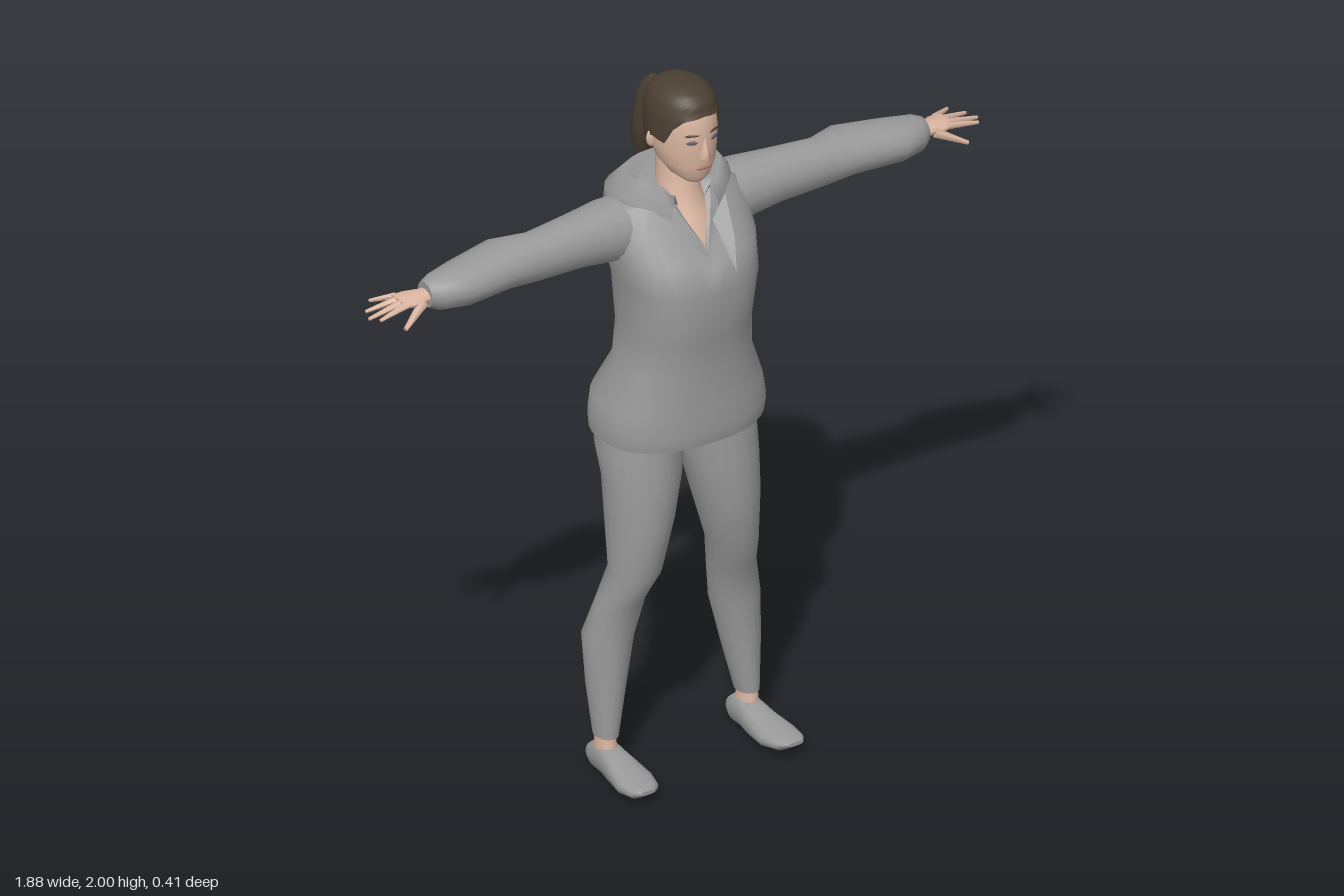
import * as THREE from 'three';

const mat = (name, color, side = THREE.FrontSide) => {
  const m = new THREE.MeshStandardMaterial({ color, side });
  m.name = name;
  return m;
};
const lerp = THREE.MathUtils.lerp;

// Closed loft along an axis; each row is [position, a0, a1, b0, b1].
function loft(axis, rows, { seg = 16, power = 1, deform } = {}) {
  const pos = [], idx = [], n = rows.length;
  const place = (p, a, b) => {
    const v = axis === 'y' ? [a, p, b] : axis === 'x' ? [p, a, b] : [a, b, p];
    const q = new THREE.Vector3(...v);
    if (deform) deform(q);
    pos.push(q.x, q.y, q.z);
  };
  const bend = t => Math.sign(t) * Math.pow(Math.abs(t), power);
  const ring = ([p, a0, a1, b0, b1]) => {
    for (let i = 0; i < seg; i++) {
      const t = (i / seg) * Math.PI * 2;
      place(p, (a0 + a1) / 2 + (a1 - a0) / 2 * bend(Math.cos(t)), (b0 + b1) / 2 + (b1 - b0) / 2 * bend(Math.sin(t)));
    }
  };
  rows.forEach(ring);
  for (let r = 0; r < n - 1; r++) for (let i = 0; i < seg; i++) {
    const a = r * seg + i, b = r * seg + (i + 1) % seg, c = a + seg, d = b + seg;
    idx.push(a, c, b, b, c, d);
  }
  [0, n - 1].forEach(r => {
    const s = pos.length / 3, row = rows[r];
    ring(row);
    place(row[0], (row[1] + row[2]) / 2, (row[3] + row[4]) / 2);
    for (let i = 0; i < seg; i++) {
      const a = s + i, b = s + (i + 1) % seg;
      idx.push(...(r ? [a, s + seg, b] : [a, b, s + seg]));
    }
  });
  const geo = build(pos, idx);
  // Turn the faces outward when the enclosed volume is negative
  let vol = 0;
  const P = k => new THREE.Vector3().fromArray(pos, k * 3);
  for (let k = 0; k < idx.length; k += 3) vol += P(idx[k]).dot(P(idx[k + 1]).cross(P(idx[k + 2])));
  return vol < 0 ? flip(geo) : geo;
}

function build(pos, idx) {
  const g = new THREE.BufferGeometry();
  g.setAttribute('position', new THREE.Float32BufferAttribute(pos, 3));
  g.setIndex(idx);
  g.computeVertexNormals();
  return g;
}

function flip(g) {
  const a = g.index.array;
  for (let k = 0; k < a.length; k += 3) [a[k], a[k + 1]] = [a[k + 1], a[k]];
  g.computeVertexNormals();
  return g;
}
const mirror = g => flip(g.clone().scale(-1, 1, 1));

// Open grid surface from a point function of u and v in 0..1
function sheet(nu, nv, fn) {
  const pos = [], idx = [];
  for (let j = 0; j <= nv; j++) for (let i = 0; i <= nu; i++) pos.push(...fn(i / nu, j / nv));
  for (let j = 0; j < nv; j++) for (let i = 0; i < nu; i++) {
    const a = j * (nu + 1) + i, c = a + nu + 1;
    idx.push(a, c, a + 1, a + 1, c, c + 1);
  }
  return build(pos, idx);
}

// Tapered rod between two points
function rod(from, to, r0, r1) {
  const a = new THREE.Vector3(...from), b = new THREE.Vector3(...to), d = b.clone().sub(a);
  const g = new THREE.CylinderGeometry(r1, r0, d.length(), 6);
  g.applyQuaternion(new THREE.Quaternion().setFromUnitVectors(new THREE.Vector3(0, 1, 0), d.normalize()));
  return g.translate(...a.add(b).multiplyScalar(0.5).toArray());
}

// Head profile from the chin up: [y, half width, front z, back z]
const HEAD = [[1.735, .028, .1, .03], [1.755, .052, .114, -.02], [1.79, .073, .121, -.06], [1.83, .082, .123, -.088],
  [1.88, .085, .126, -.098], [1.93, .082, .119, -.096], [1.96, .071, .103, -.08], [1.98, .053, .082, -.056], [1.994, .022, .045, -.015]];

// Point on the head at height y and angle a from the front
function headPoint(y, a, off = 0) {
  let k = 0;
  while (k < HEAD.length - 2 && y > HEAD[k + 1][0]) k++;
  const t = THREE.MathUtils.clamp((y - HEAD[k][0]) / (HEAD[k + 1][0] - HEAD[k][0]), 0, 1);
  const [rx, zf, zb] = [1, 2, 3].map(c => lerp(HEAD[k][c], HEAD[k + 1][c], t));
  return [Math.sin(a) * (rx + off), y + off * (y > 1.95 ? 0.8 : 0), (zf + zb) / 2 + Math.cos(a) * ((zf - zb) / 2 + off)];
}

export function createModel() {
  const root = new THREE.Group();
  const cloth = mat('greyCloth', 0x999999);
  const openCloth = mat('greyClothOpen', 0x999999, THREE.DoubleSide);
  const skin = mat('skin', 0xdab5a0);
  const hair = mat('darkBrownHair', 0x4b4033, THREE.DoubleSide);
  const eye = mat('eyeGrey', 0x5f5f66);
  const lip = mat('lips', 0xb07f74);
  const add = (name, geo, m) => {
    const mesh = new THREE.Mesh(geo, m);
    mesh.name = name;
    root.add(mesh);
    return mesh;
  };
  const pair = (name, geo, m) => {
    add('left' + name, geo, m);
    add('right' + name, mirror(geo), m);
  };

  // Hooded top with a V opening at the neck
  const body = [[.99, .235, .165, -.185], [1.03, .239, .172, -.187], [1.09, .23, .166, -.183], [1.2, .185, .165, -.13],
    [1.3, .177, .174, -.127], [1.45, .187, .202, -.144], [1.53, .203, .162, -.15], [1.6, .205, .1, -.15],
    [1.66, .18, .07, -.14], [1.69, .11, .055, -.1]];
  add('sweaterBody', loft('y', body.map(([y, x, f, b]) => [y, -x, x, b, f]), {
    seg: 32, power: .86,
    deform: p => {
      if (p.z < .03 || p.y < 1.5) return;
      const d = Math.max(0, 1 - Math.abs(p.x) / .07) * (p.y - 1.5) / .19 * .15;
      p.y -= d;
      p.z += d * .57;
    },
  }), cloth);
  pair('Sleeve', loft('x', [[.1, 1.48, 1.675, -.12, .05], [.2, 1.505, 1.673, -.12, .05], [.3, 1.52, 1.668, -.1, .045],
    [.44, 1.528, 1.662, -.08, .045], [.53, 1.53, 1.658, -.115, .045], [.67, 1.535, 1.645, -.09, .06],
    [.74, 1.54, 1.636, -.07, .04], [.768, 1.552, 1.622, -.055, .015]]), cloth);

  // Hood lying around the neck: rows are [half width, front z, back z, front y, back y]
  const hood = [[.14, .1, -.15, 1.61, 1.59], [.175, .1, -.2, 1.65, 1.61], [.17, .09, -.195, 1.7, 1.655],
    [.13, .075, -.14, 1.745, 1.715], [.08, .06, -.07, 1.69, 1.66]];
  add('hood', sheet(24, hood.length - 1, (u, v) => {
    const [rx, zf, zb, yf, yb] = hood[Math.round(v * (hood.length - 1))];
    const a = lerp(.42, Math.PI * 2 - .42, u), b = (1 - Math.cos(a)) / 2;
    const fall = Math.max(0, .3 - b) * .2;
    return [rx * Math.sin(a), lerp(yf, yb, b) - fall, lerp(zf, zb, b)];
  }), openCloth);
  // Folded collar tip
  add('collarFlap', build([.085, 1.67, .09, .03, 1.62, .115, .048, 1.5, .2, .065, 1.58, .165],
    [0, 1, 3, 1, 2, 3]), openCloth);

  // Trousers
  pair('TrouserLeg', loft('y', [[1.05, -.02, .215, -.13, .1], [.95, -.005, .228, -.135, .105], [.87, .013, .225, -.098, .112],
    [.75, .042, .222, -.08, .115], [.6, .082, .216, -.055, .1], [.5, .102, .24, -.07, .045], [.39, .125, .265, -.102, .032],
    [.25, .155, .26, -.08, .03], [.11, .186, .248, -.052, .03]], { seg: 18 }), cloth);

  // Ankles and shoes
  pair('Ankle', loft('y', [[.05, .19, .246, -.05, .03], [.14, .196, .242, -.042, .022]]), skin);
  pair('Shoe', loft('z', [[-.07, .192, .24, .012, .06], [-.04, .18, .25, 0, .085], [0, .18, .252, 0, .088],
    [.06, .17, .262, 0, .072], [.13, .165, .275, .006, .056], [.18, .18, .268, .016, .052],
    [.205, .205, .25, .034, .046]], { seg: 14, power: .8 }), cloth);

  // Hands: palm, four fingers and thumb
  pair('Palm', loft('x', [[.74, 1.565, 1.605, -.045, .008], [.78, 1.567, 1.602, -.05, .008], [.81, 1.567, 1.6, -.066, .014],
    [.845, 1.572, 1.594, -.07, .006]], { seg: 10 }), skin);
  const fingers = { LittleFinger: [-.06, .892, -.095, 1.572], RingFinger: [-.043, .925, -.06, 1.566],
    MiddleFinger: [-.023, .938, -.025, 1.565], IndexFinger: [-.004, .922, .005, 1.57] };
  for (const [name, [z0, x1, z1, y1]] of Object.entries(fingers)) {
    pair(name, rod([.832, 1.584, z0], [x1, y1, z1], .0105, .005), skin);
  }
  pair('Thumb', rod([.79, 1.58, .004], [.868, 1.543, .04], .014, .006), skin);

  // Neck and upper chest
  add('neck', loft('y', [[1.5, -.09, .09, -.06, .14], [1.54, -.09, .09, -.06, .131], [1.62, -.08, .08, -.07, .093],
    [1.69, -.055, .055, -.068, .058], [1.8, -.052, .052, -.07, .05]]), skin);

  // Head and face
  add('head', loft('y', HEAD.map(([y, x, f, b]) => [y, -x, x, b, f]), { seg: 24 }), skin);
  add('nose', loft('y', [[1.812, -.014, .014, .1, .128], [1.82, -.016, .016, .1, .146], [1.845, -.009, .009, .1, .136],
    [1.875, -.006, .006, .1, .127]], { seg: 10 }), skin);
  const oval = (sx, sy, sz, y, a) => new THREE.SphereGeometry(1, 14, 8).scale(sx, sy, sz).rotateY(a).translate(...headPoint(y, a));
  pair('Eye', oval(.015, .006, .003, 1.866, .42), eye);
  pair('Eyebrow', oval(.02, .003, .003, 1.887, .42), hair);
  pair('Ear', oval(.008, .026, .016, 1.845, Math.PI / 2 + .15).rotateY(0), skin);
  add('mouth', oval(.024, .006, .004, 1.787, 0), lip);

  // Hair cap: the lower edge follows [angle from the front, height]
  const LINE = [[0, 1.938], [.6, 1.93], [.95, 1.9], [1.15, 1.855], [1.6, 1.862], [2, 1.825], [2.5, 1.81], [3.15, 1.805]];
  const hairline = a => {
    const k = LINE.findIndex(p => p[0] >= a) || 1;
    const [p, q] = [LINE[k - 1], LINE[k]];
    return lerp(p[1], q[1], (a - p[0]) / (q[0] - p[0]));
  };
  add('hairCap', sheet(48, 14, (u, v) => {
    const a = (u - .5) * Math.PI * 2;
    if (v === 0) return [0, 2, .015];
    return headPoint(lerp(1.994, hairline(Math.abs(a)), Math.pow(v, 1.4)), a, .007);
  }), hair);
  // Ponytail
  add('ponytail', loft('y', [[1.945, -.014, .014, -.13, -.085], [1.92, -.028, .026, -.155, -.085], [1.88, -.035, .032, -.17, -.1],
    [1.8, -.04, .034, -.186, -.108], [1.74, -.034, .028, -.19, -.125], [1.685, -.014, .01, -.186, -.16]], { seg: 10 }), hair);

  return root;
}
